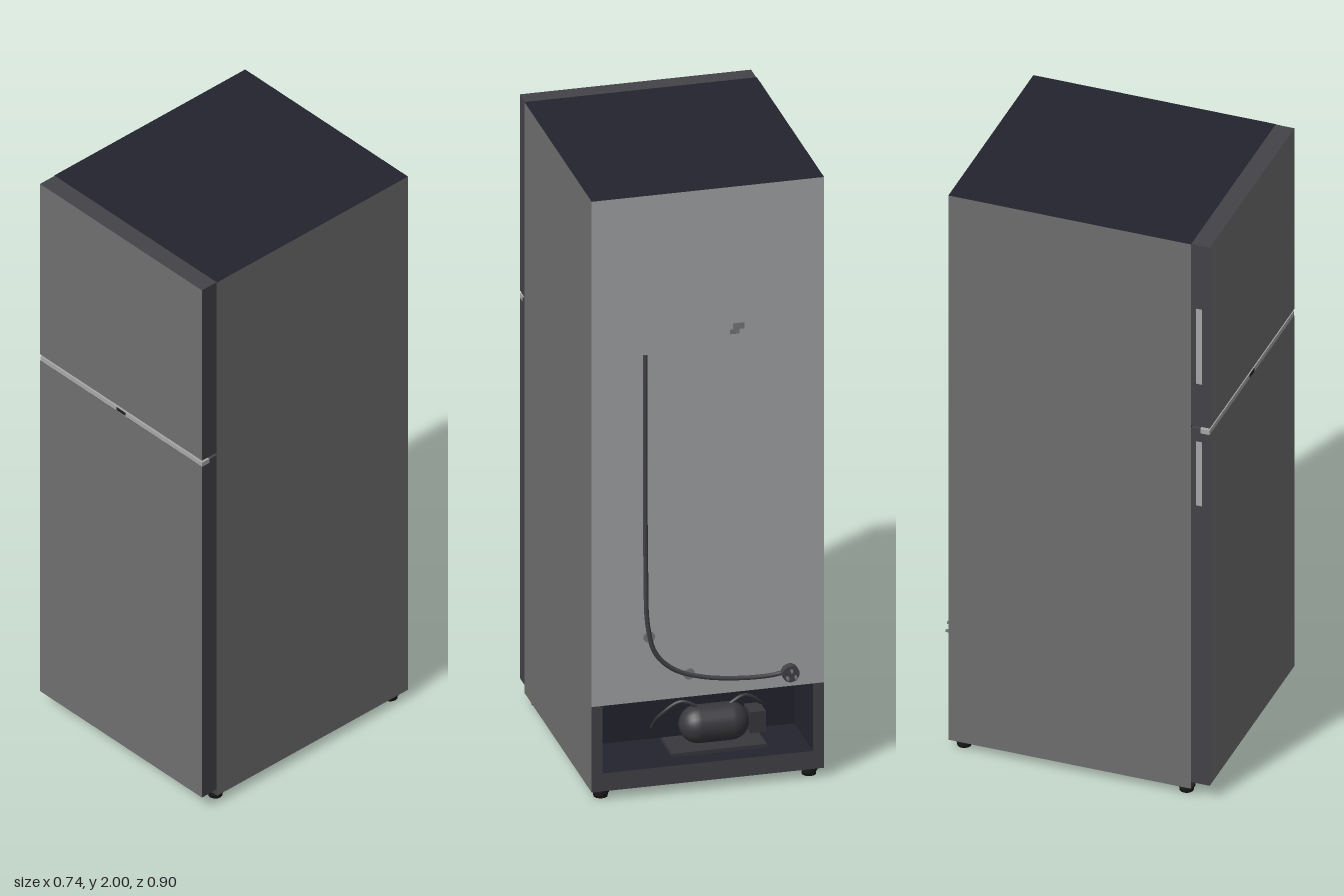
import * as THREE from 'three';

const mat = (name, color, side = THREE.FrontSide) => {
  const m = new THREE.MeshStandardMaterial({ color, side });
  m.name = name;
  return m;
};

export function createModel() {
  const model = new THREE.Group();
  model.name = 'refrigerator';
  const steel = mat('steel grey', 0x6f6f6f);
  const edge = mat('dark edge grey', 0x434348);
  const navy = mat('dark navy', 0x23232e);
  const rear = mat('light rear grey', 0xa3a4a6);
  const trim = mat('bright trim', 0xa8a8a8);
  const rubber = mat('black rubber', 0x1f1f21);
  const machine = mat('machinery grey', 0x38383d);
  const metal = mat('metal', 0x77777a);

  const add = (name, geo, material, x = 0, y = 0, z = 0, parent = model) => {
    const m = new THREE.Mesh(geo, material);
    m.name = name;
    m.position.set(x, y, z);
    parent.add(m);
    return m;
  };
  // box given by its limits; materials in the order +x -x +y -y +z -z
  const box = (name, material, x0, x1, y0, y1, z0, z1) =>
    add(name, new THREE.BoxGeometry(x1 - x0, y1 - y0, z1 - z0), material,
      (x0 + x1) / 2, (y0 + y1) / 2, (z0 + z1) / 2);

  const W = 0.368, BACK = -0.405, FRONT = 0.388, RECESS = -0.185;
  const LOW = 0.03, FLOOR = 0.09, CEIL = 0.315, TOP = 2;

  // Cabinet with the open machine compartment at the lower back
  box('cabinet', [steel, steel, navy, navy, edge, rear], -W, W, CEIL, TOP, BACK, FRONT);
  box('cabinetBase', [steel, steel, navy, edge, edge, navy], -W, W, LOW, CEIL, RECESS, FRONT);
  box('compartmentFloor', [steel, steel, navy, edge, edge, edge], -W, W, LOW, FLOOR, BACK, RECESS);
  box('compartmentWallLeft', [steel, navy, navy, edge, navy, edge], W - 0.035, W, FLOOR, CEIL, BACK, RECESS);
  box('compartmentWallRight', [navy, steel, navy, edge, navy, edge], -W, -W + 0.035, FLOOR, CEIL, BACK, RECESS);

  // Doors: dark core with a thin steel front
  const D = 0.366, DF = 0.449;
  for (const [name, y0, y1] of [['lowerDoor', 0.053, 1.322], ['upperDoor', 1.346, TOP]]) {
    box(name, edge, -D, D, y0, y1, FRONT, DF - 0.004);
    box(name + 'Front', [edge, edge, edge, edge, steel, edge], -D, D, y0, y1, DF - 0.004, DF);
  }
  // Trim along the top of the lower door, with a plain plate in the middle
  box('doorTopCap', edge, -D, D, 1.322, 1.336, FRONT, 0.418);
  box('doorTrim', trim, -D, D, 1.322, 1.338, 0.418, DF - 0.001);
  box('trimPlate', rubber, -0.02, 0.02, 1.326, 1.336, DF - 0.001, DF + 0.001);
  box('hingeCentre', rubber, 0.27, 0.35, 1.336, 1.346, FRONT, 0.425);

  // Grip plates on the opening edge of both doors
  box('upperGrip', trim, -D - 0.002, -D, 1.5, 1.77, 0.404, 0.424);
  box('lowerGrip', trim, -D - 0.002, -D, 1.06, 1.29, 0.404, 0.424);

  // Feet: a wide pad under a narrower stem
  const foot = new THREE.LatheGeometry([[0, 0], [0.022, 0], [0.023, 0.012], [0.027, 0.016], [0.027, 0.031]]
    .map(([r, y]) => new THREE.Vector2(r, y)), 20);
  for (const [x, z] of [[-0.33, 0.36], [0, 0.36], [0.33, 0.36], [-0.33, -0.367], [0.33, -0.367]])
    add('foot', foot, rubber, x, 0, z);

  // Compressor, drip tray and pipes
  const comp = new THREE.Group();
  comp.name = 'compressor';
  comp.position.set(-0.05, 0.17, -0.29);
  model.add(comp);
  const shell = add('compressorShell', new THREE.CapsuleGeometry(0.06, 0.1, 8, 20), machine, 0, 0, 0, comp);
  shell.rotation.z = Math.PI / 2;
  add('compressorPlate', new THREE.BoxGeometry(0.3, 0.012, 0.13), machine, 0, -0.068, 0, comp);
  add('relayBox', new THREE.BoxGeometry(0.05, 0.07, 0.07), machine, -0.13, 0, 0, comp);
  for (const s of [-1, 1]) {
    add('mount', new THREE.CylinderGeometry(0.02, 0.02, 0.012, 16), rubber, s * 0.12, -0.074, 0, comp);
    const pipe = new THREE.CatmullRomCurve3([[0.04, 0.05, 0], [0.1, 0.075, 0.01], [0.16, 0.03, 0.03], [0.17, -0.04, 0.1]]
      .map(([x, y, z]) => new THREE.Vector3(s * x, y, z)));
    add('pipe', new THREE.TubeGeometry(pipe, 24, 0.006, 8), machine, 0, 0, 0, comp);
  }

  // Power cord on the back, held by clips
  const cord = new THREE.CatmullRomCurve3([
    [0.2, 1.475], [0.2, 1.1], [0.198, 0.75], [0.192, 0.57], [0.168, 0.475], [0.11, 0.415],
    [0.02, 0.38], [-0.1, 0.362], [-0.195, 0.36], [-0.235, 0.365],
  ].map(([x, y]) => new THREE.Vector3(x, y, -0.411)));
  add('powerCord', new THREE.TubeGeometry(cord, 80, 0.0075, 8), edge);
  for (const [x, y] of [[0.187, 0.53], [0.06, 0.393]]) {
    const clip = add('cordClip', new THREE.CylinderGeometry(0.018, 0.018, 0.008, 16), metal, x, y, -0.408);
    clip.rotation.x = Math.PI / 2;
  }

  // Plug with three prongs
  const plug = add('plug', new THREE.CylinderGeometry(0.027, 0.027, 0.024, 20), edge, -0.256, 0.367, -0.423);
  plug.rotation.x = Math.PI / 2;
  for (const [x, y] of [[-0.269, 0.357], [-0.243, 0.357], [-0.256, 0.379]])
    box('prong', metal, x - 0.003, x + 0.003, y - 0.004, y + 0.004, -0.45, -0.433);

  // Small bracket on the rear panel
  box('rearBracket', metal, -0.115, -0.08, 1.525, 1.545, BACK - 0.003, BACK);
  box('rearBracketTab', metal, -0.1, -0.07, 1.51, 1.525, BACK - 0.003, BACK);
  return model;
}
